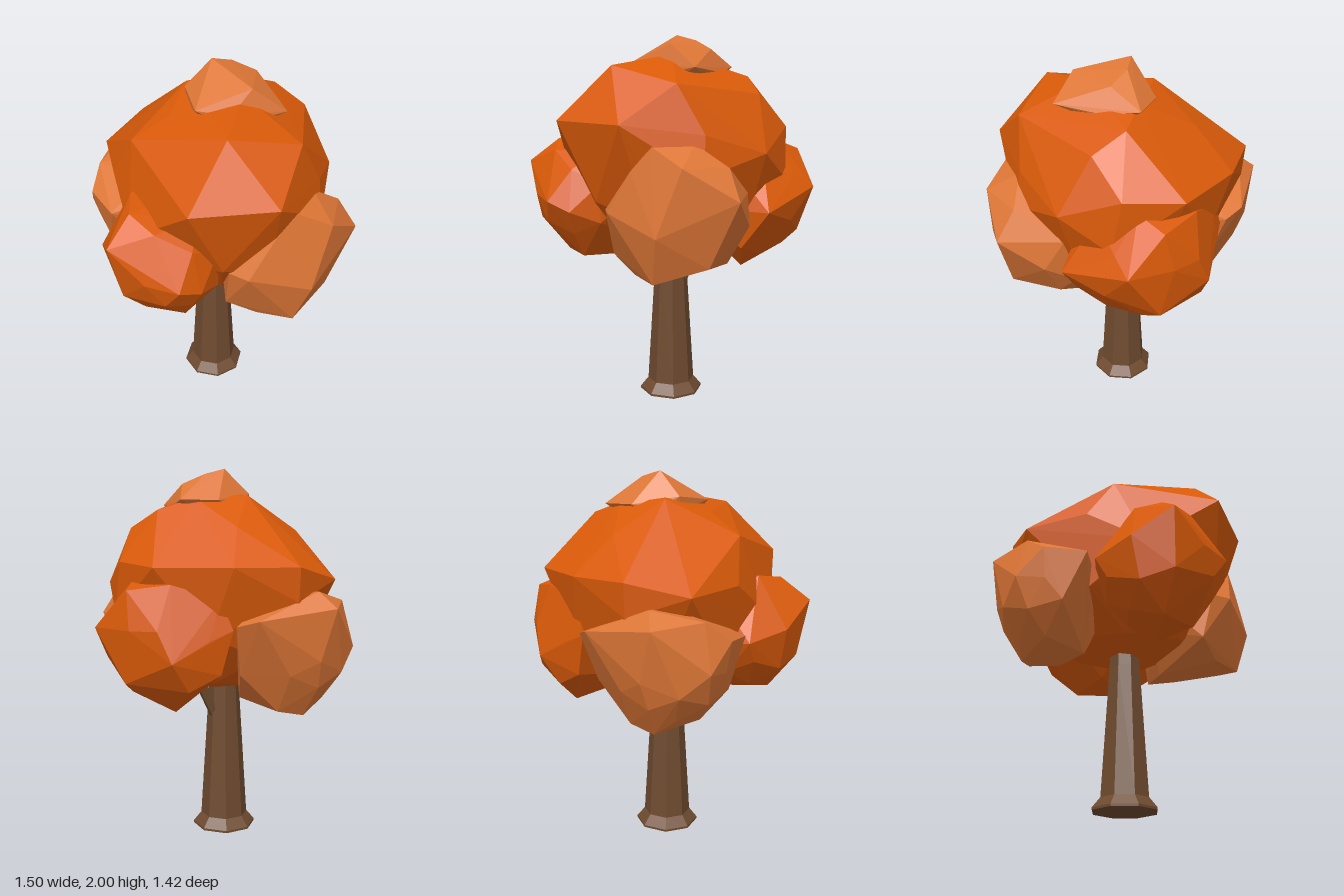
import * as THREE from 'three';
import { ConvexGeometry } from 'three/addons/geometries/ConvexGeometry.js';

const mat = (name, color) => {
  const m = new THREE.MeshStandardMaterial({ color });
  m.name = name;
  return m;
};

// Splits shared vertices so every facet gets its own flat normal
function facet(geometry) {
  const g = geometry.toNonIndexed();
  g.computeVertexNormals();
  return g;
}

// Repeatable uneven value in 0..1 for a direction
function noise(v, seed) {
  const s = Math.sin(Math.round(v.x * 50) * 12.99 + Math.round(v.y * 50) * 78.23 + Math.round(v.z * 50) * 37.72 + seed) * 437.58;
  return s - Math.floor(s);
}

// Faceted leaf clump: a hull around given corners, filled in by an uneven ellipsoid between them
function clump(center, radii, seed, corners) {
  const c = new THREE.Vector3(...center);
  const r = new THREE.Vector3(...radii);
  const points = corners.map((p) => new THREE.Vector3(...p));
  const taken = points.map((p) => p.clone().sub(c).divide(r).normalize());
  const pos = new THREE.IcosahedronGeometry(1, 1).attributes.position;
  for (let i = 0; i < pos.count; i++) {
    const d = new THREE.Vector3().fromBufferAttribute(pos, i);
    if (taken.some((t) => t.dot(d) > 0.94)) continue;
    taken.push(d);
    points.push(d.clone().multiply(r).multiplyScalar(0.93 + 0.07 * noise(d, seed)).add(c));
  }
  return new ConvexGeometry(points);
}

export function createModel() {
  const tree = new THREE.Group();
  tree.name = 'tree';
  const bark = mat('bark brown', 0x6f4b30);
  const orange = mat('deep orange leaves', 0xd95a09);
  const light = mat('light orange leaves', 0xdd7636);

  const add = (name, geometry, material) => {
    const mesh = new THREE.Mesh(geometry, material);
    mesh.name = name;
    tree.add(mesh);
    return mesh;
  };

  // Eight-sided trunk with a flared foot
  const profile = [[0, 0], [0.175, 0], [0.175, 0.012], [0.131, 0.065], [0.088, 0.76], [0.08, 0.95], [0, 0.95]]
    .map(([x, y]) => new THREE.Vector2(x, y));
  const trunk = add('trunk', facet(new THREE.LatheGeometry(profile, 8, Math.PI / 8)), bark);
  trunk.position.set(-0.022, 0, 0.005);

  // Short side branch rising into the leaves
  const from = new THREE.Vector3(0, 0.58, -0.005);
  const to = new THREE.Vector3(0.2, 0.98, -0.015);
  const along = to.clone().sub(from);
  const branch = add('branch', facet(new THREE.CylinderGeometry(0.028, 0.033, along.length(), 6)), bark);
  branch.position.copy(from).add(to).multiplyScalar(0.5);
  branch.quaternion.setFromUnitVectors(new THREE.Vector3(0, 1, 0), along.normalize());

  // Large central crown
  add('crown', clump([0.02, 1.33, 0.01], [0.57, 0.56, 0.6], 1, [
    [-0.07, 1.55, 0.67], [-0.46, 1.56, 0.51], [-0.2, 1.83, 0.42], [0.48, 1.69, 0.1],
    [0.16, 1.74, 0.5], [0.6, 1.52, -0.05], [0.55, 1.4, 0.26], [-0.1, 1.5, -0.64],
    [-0.39, 1.43, -0.52], [0.22, 1.5, -0.56], [0.04, 1.89, 0.18], [-0.57, 1.25, 0.12],
    [-0.5, 1.45, -0.19], [0.39, 1.78, -0.05], [0.3, 1.3, 0.52], [0.54, 1.5, -0.34],
    [-0.08, 1.86, -0.15], [0.1, 1.69, -0.37], [-0.45, 1.68, -0.05], [0.61, 1.25, 0],
    [0.2, 1.84, -0.1], [-0.1, 1.33, -0.63], [0, 0.79, 0.05],
  ]), orange);

  // Small clump on the very top
  add('topClump', clump([0.05, 1.8, 0.06], [0.22, 0.1, 0.22], 2, [
    [0, 2, -0.04], [-0.2, 1.85, 0.14], [0.2, 1.82, 0.32], [0.29, 1.83, -0.11],
    [0.21, 1.92, 0.04], [0.05, 1.94, 0.24], [-0.13, 1.87, -0.08], [0.1, 1.83, -0.17],
    [0.11, 1.97, -0.03],
  ]), light);

  // Side clumps
  add('rightClump', clump([-0.41, 1.14, 0.18], [0.3, 0.33, 0.33], 3, [
    [-0.75, 1.33, 0.25], [-0.69, 1.02, 0.25], [-0.55, 0.84, 0.2], [-0.6, 1.45, 0.2],
    [-0.52, 1.47, 0.06], [-0.52, 1.15, 0.52], [-0.4, 1.1, 0.52], [-0.64, 1.17, 0.4],
    [-0.69, 1.2, 0.04], [-0.55, 1.15, -0.14], [-0.55, 1.4, 0.35], [-0.25, 0.82, 0.15],
    [-0.4, 0.84, 0.35],
  ]), orange);
  add('leftClump', clump([0.4, 1.1, -0.13], [0.31, 0.34, 0.36], 4, [
    [0.75, 1.2, -0.09], [0.64, 1.39, -0.25], [0.38, 0.76, 0], [0.58, 0.87, -0.15],
    [0.5, 1.05, -0.47], [0.57, 1.1, 0.25], [0.55, 1.44, -0.12], [0.65, 1.2, -0.3],
    [0.32, 1.15, -0.5], [0.47, 1.42, -0.39], [0.65, 1.03, 0.03], [0.42, 0.9, 0.2],
    [0.4, 0.77, -0.28], [0.4, 0.9, -0.44], [0.2, 1.2, -0.52], [0.25, 0.98, -0.49],
    [0.25, 1.35, -0.48], [0.5, 1.36, 0.08],
  ]), orange);

  // Front and back clumps
  add('frontClump', clump([0.14, 1.1, 0.38], [0.32, 0.33, 0.3], 5, [
    [0.12, 1.03, 0.71], [0.24, 1.36, 0.68], [0.49, 1.2, 0.58], [0.49, 1.05, 0.35],
    [0.07, 1.45, 0.61], [0.25, 1.46, 0.5], [0.08, 0.79, 0.63], [-0.22, 1.12, 0.48],
    [-0.2, 0.88, 0.42], [-0.17, 1.12, 0.58], [0.37, 0.84, 0.3], [0.1, 0.78, 0.2],
    [0.42, 1.35, 0.5], [0.34, 0.87, 0.56], [-0.04, 1.33, 0.6], [0.25, 0.78, 0.14],
    [0.46, 1.2, 0.25], [0.42, 0.95, 0.2], [-0.06, 0.8, 0.5],
  ]), light);
  add('backClump', clump([-0.22, 1.06, -0.39], [0.32, 0.31, 0.29], 6, [
    [-0.27, 1.3, -0.71], [0.12, 1.25, -0.63], [0.2, 1.22, -0.55], [-0.55, 1.22, -0.4],
    [-0.54, 1.2, -0.18], [-0.2, 0.74, -0.53], [-0.2, 1.04, -0.68], [-0.28, 0.75, -0.2],
    [-0.5, 1.08, -0.54], [-0.45, 1.32, -0.5], [-0.5, 0.95, -0.3], [-0.06, 0.77, -0.51],
    [0.14, 0.97, -0.48], [0.08, 0.83, -0.36], [-0.22, 1.38, -0.62],
  ]), light);

  return tree;
}
